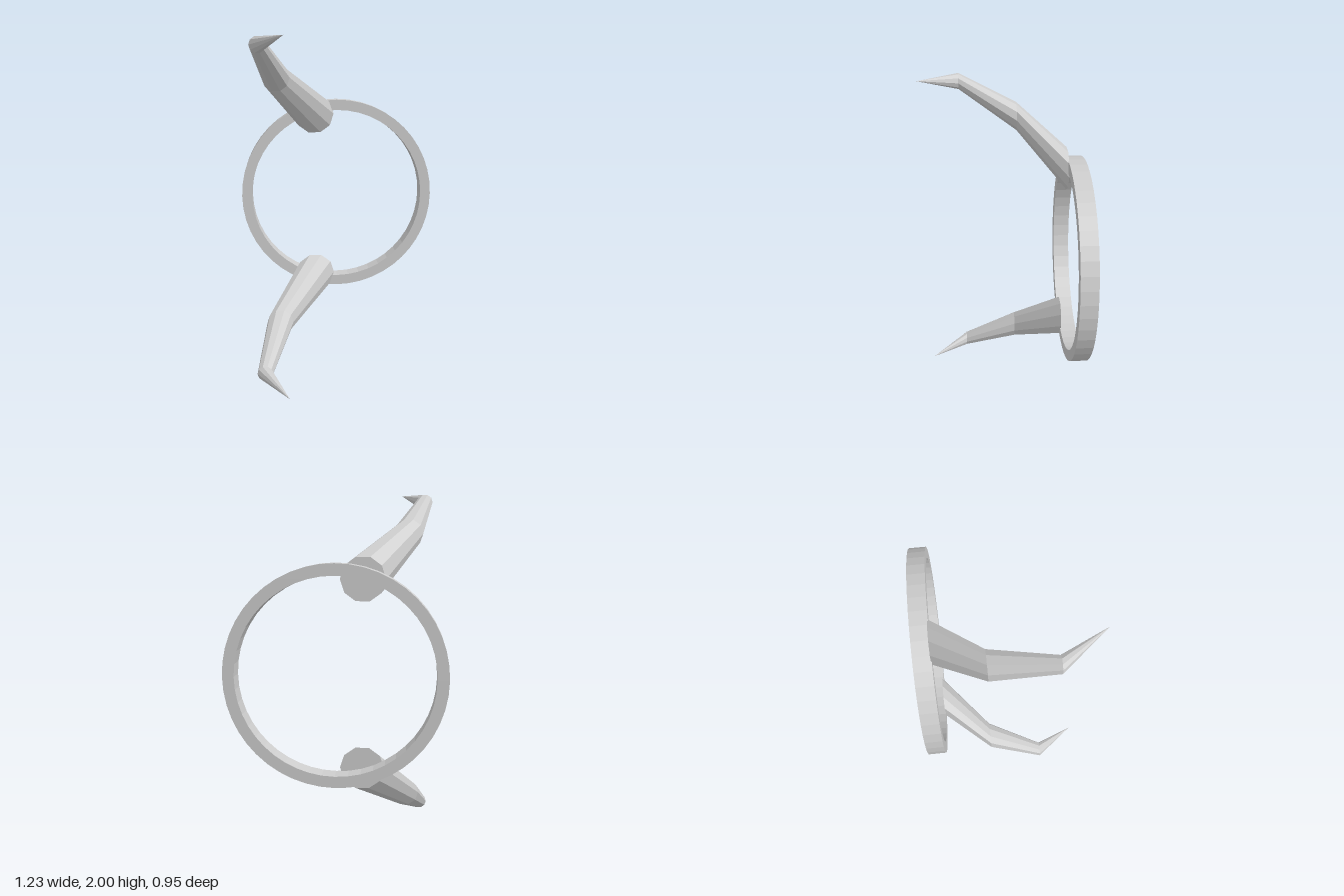
import * as THREE from 'three';

const SIDES = 10;

// Faceted horn swept through [x, y, z, radius] sections, capped at the base and ending in a point
function hornGeometry(sections) {
  const pos = [], idx = [];
  for (const [x, y, z, r] of sections) {
    for (let j = 0; j < SIDES; j++) {
      const a = (j / SIDES) * Math.PI * 2;
      pos.push(x + r * Math.cos(a), y + r * Math.sin(a), z);
    }
  }
  for (let i = 0; i < sections.length - 1; i++) {
    for (let j = 0; j < SIDES; j++) {
      const k = (j + 1) % SIDES;
      const a = i * SIDES + j, b = i * SIDES + k;
      idx.push(a, b, b + SIDES);
      if (sections[i + 1][3] > 0) idx.push(a, b + SIDES, a + SIDES);
    }
  }
  // base cap, facing back
  for (let j = 1; j < SIDES - 1; j++) idx.push(0, j + 1, j);
  const g = new THREE.BufferGeometry();
  g.setAttribute('position', new THREE.Float32BufferAttribute(pos, 3));
  g.setIndex(idx);
  const flat = g.toNonIndexed();
  flat.computeVertexNormals();
  return flat;
}

export function createModel() {
  const group = new THREE.Group();
  const grey = new THREE.MeshStandardMaterial({ color: 0xcccccc, flatShading: true });
  grey.name = 'light grey';

  // Upright ring at the back
  const shape = new THREE.Shape().absarc(0, 0, 0.615, 0, Math.PI * 2, false);
  shape.holes.push(new THREE.Path().absarc(0, 0, 0.55, 0, Math.PI * 2, true));
  const ring = new THREE.Mesh(
    new THREE.ExtrudeGeometry(shape, { depth: 0.1, bevelEnabled: false, curveSegments: 24 }), grey);
  ring.name = 'ring';
  ring.position.set(0, 1, -0.473);
  group.add(ring);

  // Upper and lower claws, mirrored about the ring's centre height
  const sections = [
    [-0.145, 0.527, -0.378, 0.124],
    [-0.382, 0.765, -0.098, 0.082],
    [-0.475, 0.951, 0.237, 0.046],
    [-0.333, 0.998, 0.473, 0],
  ];
  for (const [name, s] of [['upperClaw', 1], ['lowerClaw', -1]]) {
    const claw = new THREE.Mesh(
      hornGeometry(sections.map(([x, y, z, r]) => [x, 1 + s * y, z, r])), grey);
    claw.name = name;
    group.add(claw);
  }
  return group;
}
